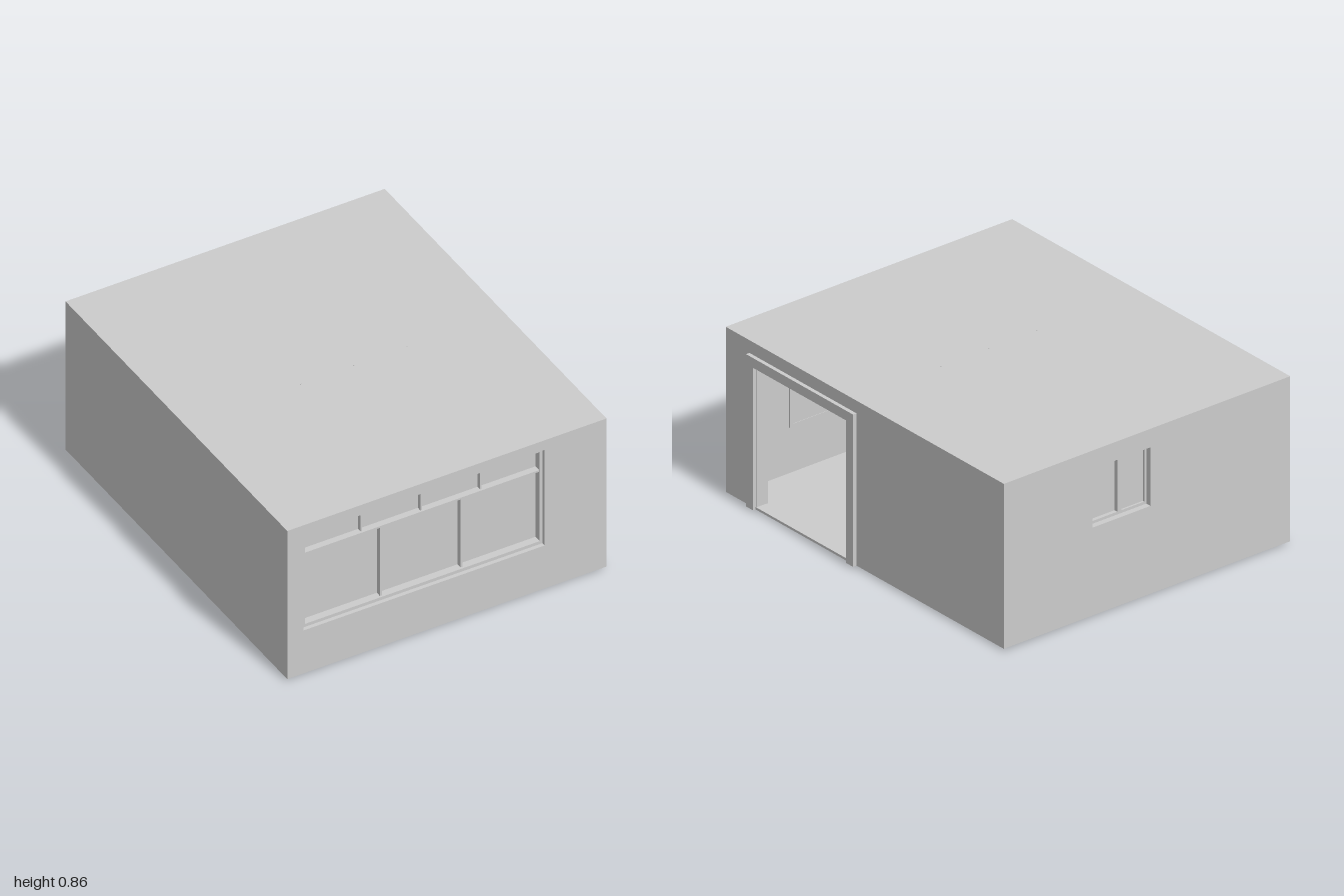
import * as THREE from 'three';

const grey = new THREE.MeshStandardMaterial({ color: 0xcccccc, flatShading: true });

// Box given by its minimum and maximum corner
function block(parent, name, x0, x1, y0, y1, z0, z1) {
  const mesh = new THREE.Mesh(new THREE.BoxGeometry(x1 - x0, y1 - y0, z1 - z0), grey);
  mesh.position.set((x0 + x1) / 2, (y0 + y1) / 2, (z0 + z1) / 2);
  mesh.name = name;
  parent.add(mesh);
  return mesh;
}

function rectPath(path, [x0, x1, y0, y1]) {
  path.moveTo(x0, y0);
  path.lineTo(x1, y0);
  path.lineTo(x1, y1);
  path.lineTo(x0, y1);
  path.closePath();
  return path;
}

// Upright slab with one rectangular opening
function pierced(parent, name, outer, hole, depth) {
  const shape = rectPath(new THREE.Shape(), outer);
  shape.holes.push(rectPath(new THREE.Path(), hole));
  const mesh = new THREE.Mesh(new THREE.ExtrudeGeometry(shape, { depth, bevelEnabled: false }), grey);
  mesh.name = name;
  parent.add(mesh);
  return mesh;
}

function stool(x, z) {
  const g = new THREE.Group();
  g.name = 'stool';
  block(g, 'stoolSeat', -0.045, 0.045, 0.235, 0.25, -0.045, 0.045);
  block(g, 'stoolBack', -0.045, 0.045, 0.27, 0.38, 0.035, 0.045);
  for (const sx of [-1, 1]) {
    for (const sz of [-1, 1]) {
      const leg = block(g, 'stoolLeg', -0.005, 0.005, 0, 0.24, -0.005, 0.005);
      leg.position.x = sx * 0.036;
      leg.position.z = sz * 0.036;
    }
    block(g, 'stoolRail', sx * 0.036 - 0.004, sx * 0.036 + 0.004, 0.08, 0.09, -0.036, 0.036);
  }
  block(g, 'footRest', -0.036, 0.036, 0.08, 0.09, 0.032, 0.04);
  g.position.set(x, 0.02, z);
  return g;
}

export function createModel() {
  const model = new THREE.Group();
  model.name = 'shopBuilding';
  const L = -0.85, R = 0.83, B = 0.01, T = 0.855, W = 0.055;

  // Plinth, floor and roof
  block(model, 'plinth', -0.8, 0.78, 0, B, -0.94, 0.94);
  block(model, 'floor', L + 0.01, R - 0.01, B, 0.02, -0.99, 0.99);
  block(model, 'roof', L, R, T - 0.03, T, -1, 1);

  // Walls
  const top = T - 0.03;
  const frontHole = [-0.765, 0.505, 0.255, 0.8];
  const backHole = [-0.03, 0.31, 0.46, 0.76];
  pierced(model, 'frontWall', [L, R, B, top], frontHole, W).position.z = 1 - W;
  pierced(model, 'backWall', [L, R, B, top], backHole, W).position.z = -1;
  block(model, 'leftEndWall', L, L + W, B, top, -1 + W, 1 - W);
  const doorWall = pierced(model, 'doorWall', [-1 + W, 1 - W, B, top], [-0.8, -0.09, 0.015, 0.76], W);
  doorWall.rotation.y = Math.PI / 2;
  doorWall.position.x = R - W;

  // Front window: frame, sashes, bars and panes
  const frontWindow = new THREE.Group();
  frontWindow.name = 'frontWindow';
  model.add(frontWindow);
  pierced(frontWindow, 'windowFrame', frontHole, [-0.745, 0.49, 0.272, 0.78], 0.045).position.z = 0.935;
  block(frontWindow, 'glass', -0.75, 0.495, 0.265, 0.785, 0.938, 0.942);
  block(frontWindow, 'transom', -0.745, 0.49, 0.664, 0.674, 0.935, 0.975);
  for (const x of [-0.44, -0.125, 0.19]) block(frontWindow, 'upperBar', x - 0.004, x + 0.004, 0.674, 0.78, 0.935, 0.965);
  for (const x of [-0.34, 0.085]) block(frontWindow, 'lowerBar', x - 0.005, x + 0.005, 0.272, 0.664, 0.935, 0.97);

  // Back window with two sliding panes
  const backWindow = new THREE.Group();
  backWindow.name = 'backWindow';
  model.add(backWindow);
  pierced(backWindow, 'windowFrame', backHole, [-0.018, 0.298, 0.474, 0.748], 0.03).position.z = -0.97;
  block(backWindow, 'outerPane', -0.02, 0.125, 0.47, 0.75, -0.96, -0.955);
  block(backWindow, 'innerPane', 0.125, 0.3, 0.47, 0.75, -0.95, -0.945);
  block(backWindow, 'middleBar', 0.115, 0.14, 0.47, 0.75, -0.97, -0.945);

  // Door surround, standing proud of the wall, and its lining
  const doorway = new THREE.Group();
  doorway.name = 'doorway';
  model.add(doorway);
  for (const [z0, z1] of [[0.06, 0.11], [0.78, 0.83]]) {
    block(doorway, 'doorPost', R - 0.005, 0.85, B, 0.79, z0, z1);
  }
  block(doorway, 'doorHead', R - 0.005, 0.85, 0.74, 0.79, 0.11, 0.78);
  for (const [z0, z1] of [[0.09, 0.115], [0.775, 0.8]]) {
    block(doorway, 'doorLining', R - W - 0.01, R, 0.012, 0.74, z0, z1);
  }
  block(doorway, 'liningHead', R - W - 0.01, R, 0.735, 0.76, 0.09, 0.8);
  block(doorway, 'threshold', R - W, R + 0.005, B, 0.022, 0.11, 0.78);

  // Inner partition with skirting
  block(model, 'partition', -0.45, 0.48, 0.02, 0.74, -0.25, 0.155);
  block(model, 'partitionSkirting', -0.45, 0.5, 0.02, 0.07, -0.25, 0.165);

  // Fittings along the far wall
  block(model, 'wallStep', L + W, L + W + 0.04, 0.02, 0.07, 0.155, 0.94);
  block(model, 'wallCabinet', L + W, L + W + 0.12, 0.555, 0.8, 0.31, 0.62);
  block(model, 'lowScreen', -0.6, -0.58, 0.02, 0.53, 0.155, 0.25);

  // Stools in a row
  for (const x of [-0.35, -0.1, 0.15, 0.38]) model.add(stool(x, 0.205));

  // Pendant lamp rods that just pass through the roof
  for (const x of [-0.24, 0.04, 0.32]) {
    const rod = new THREE.Mesh(new THREE.CylinderGeometry(0.003, 0.003, 0.118, 6), grey);
    rod.position.set(x, 0.798, 0.075);
    rod.name = 'lampRod';
    model.add(rod);
  }
  return model;
}
